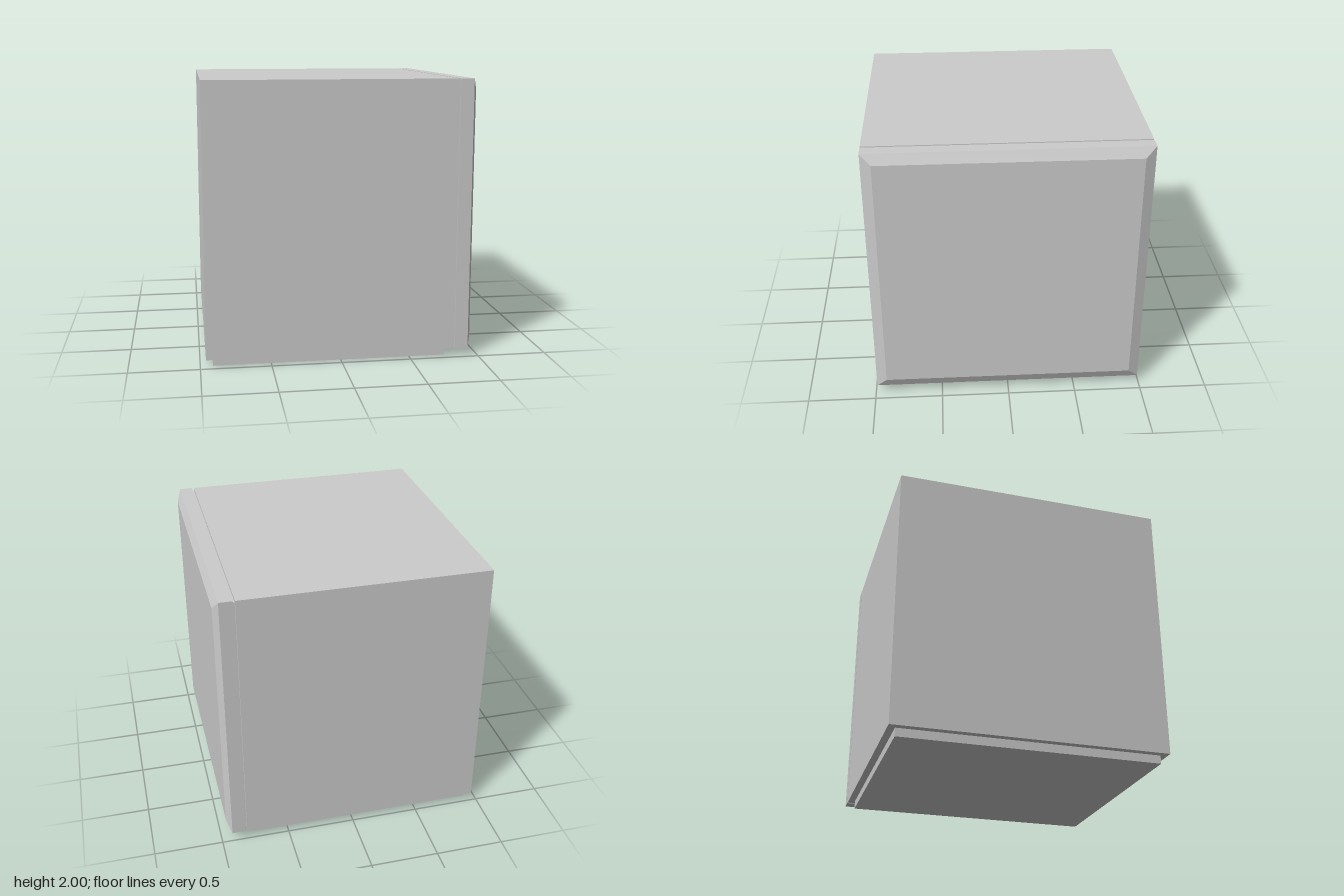
import * as THREE from 'three';

const material = new THREE.MeshStandardMaterial({ color: 0xcccccc, flatShading: true });

// Box given by its lower and upper corners
function block(name, [x0, y0, z0], [x1, y1, z1]) {
  const geometry = new THREE.BoxGeometry(x1 - x0, y1 - y0, z1 - z0);
  geometry.translate((x0 + x1) / 2, (y0 + y1) / 2, (z0 + z1) / 2);
  const mesh = new THREE.Mesh(geometry, material);
  mesh.name = name;
  return mesh;
}

// Slab whose outer (+x) face is drawn in to leave a sloping border
function bevelledDoor(xBack, xEdge, xFace, height, depth, inset, yCentre) {
  const box = new THREE.BoxGeometry(2, height, depth, 2, 1, 1);
  const p = box.attributes.position;
  for (let i = 0; i < p.count; i++) {
    const x = p.getX(i);
    if (x > 0.5) {
      p.setY(i, p.getY(i) - Math.sign(p.getY(i)) * inset);
      p.setZ(i, p.getZ(i) - Math.sign(p.getZ(i)) * inset);
    }
    p.setX(i, x > 0.5 ? xFace : x < -0.5 ? xBack : xEdge);
  }
  const geometry = box.toNonIndexed();
  geometry.translate(0, yCentre, 0);
  geometry.computeVertexNormals();
  const mesh = new THREE.Mesh(geometry, material);
  mesh.name = 'door';
  return mesh;
}

export function createModel() {
  const model = new THREE.Group();
  model.name = 'cabinet';
  model.add(
    block('plinth', [-0.91, 0, -0.937], [0.76, 0.06, 0.937]),
    block('body', [-0.96, 0.06, -0.988], [0.812, 2, 0.988]),
    // Recessed seal between body and door
    block('doorSeal', [0.812, 0.08, -0.968], [0.827, 1.98, 0.968]),
    bevelledDoor(0.827, 0.922, 0.956, 1.94, 1.976, 0.075, 1.03),
  );
  return model;
}
